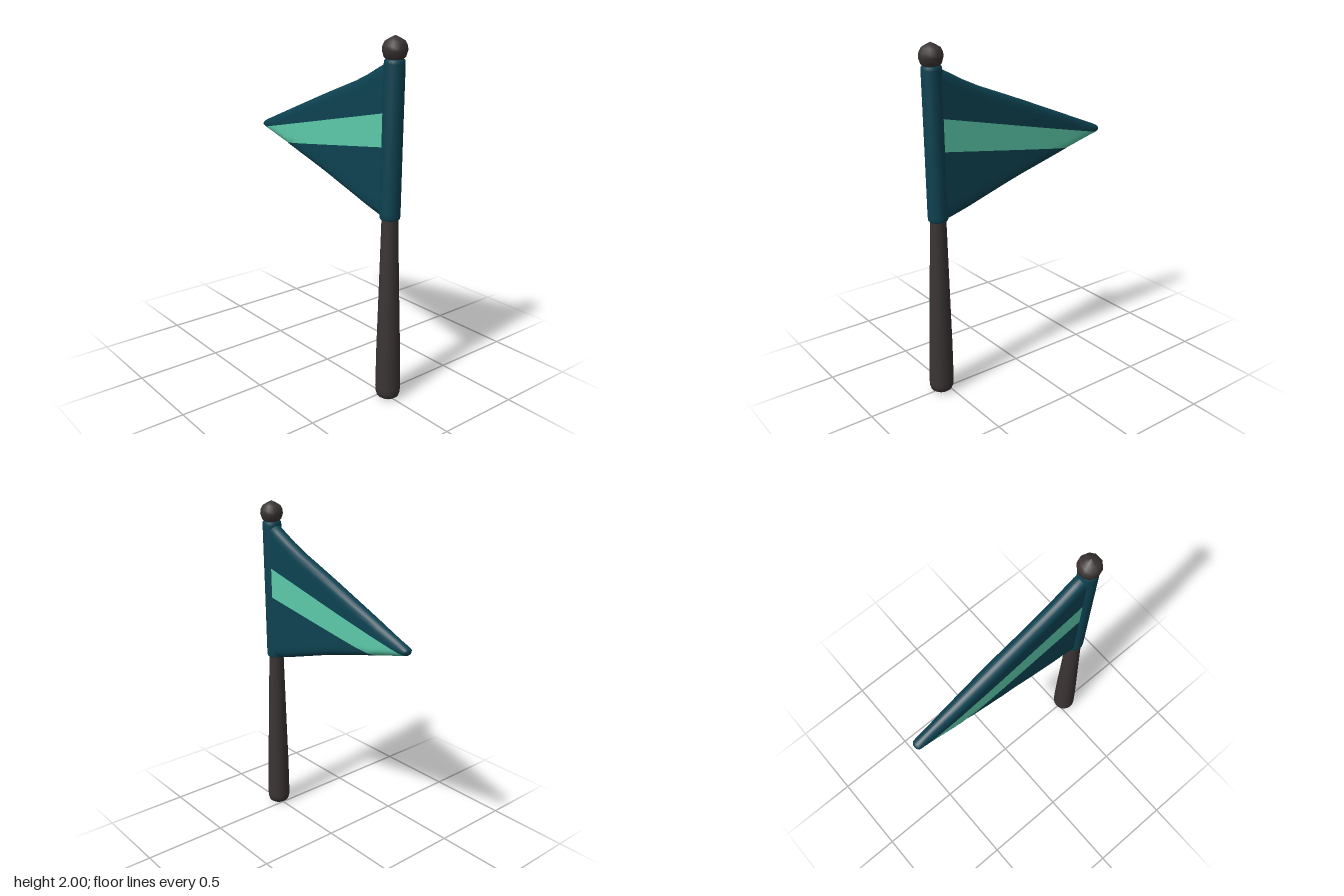
import * as THREE from 'three';

const wood = new THREE.MeshStandardMaterial({ color: 0x3b3434 });
wood.name = 'dark wood';
const teal = new THREE.MeshStandardMaterial({ color: 0x0d4251 });
teal.name = 'teal cloth';
const mint = new THREE.MeshStandardMaterial({ color: 0x5ccaaa });
mint.name = 'mint stripe';

// Piecewise linear lookup in a list of [x, value]
function lerpTable(table, x) {
  let i = 0;
  while (i < table.length - 2 && x > table[i + 1][0]) i++;
  const [x0, v0] = table[i], [x1, v1] = table[i + 1];
  return THREE.MathUtils.lerp(v0, v1, THREE.MathUtils.clamp((x - x0) / (x1 - x0), 0, 1));
}

// Turned part whose axis follows a gentle lean
const axis = [[0, 0.545], [1.05, 0.528], [1.9, 0.536]];
function turned(name, profile, segments, material) {
  const geo = new THREE.LatheGeometry(profile.map(p => new THREE.Vector2(...p)), segments);
  const pos = geo.attributes.position;
  for (let i = 0; i < pos.count; i++) pos.setX(i, pos.getX(i) + lerpTable(axis, pos.getY(i)));
  const mesh = new THREE.Mesh(geo, material);
  mesh.name = name;
  return mesh;
}

// Pennant outline and half thickness along x
const top = [[-0.615, 1.395], [-0.605, 1.405], [-0.58, 1.417], [0, 1.65], [0.3, 1.765], [0.48, 1.86], [0.53, 1.87]];
const bottom = [[-0.615, 1.375], [-0.605, 1.366], [-0.58, 1.358], [-0.38, 1.305], [0, 1.2], [0.4, 1.07], [0.48, 1.05], [0.53, 1.05]];
const half = [[-0.615, 0.015], [-0.605, 0.027], [-0.58, 0.032], [-0.35, 0.041], [-0.1, 0.044], [0.53, 0.04]];

function buildPennant() {
  const xs = [-0.615, -0.61, -0.605, -0.595, -0.58, -0.55, -0.5, -0.45, -0.4, -0.38, -0.34];
  for (let x = -0.25; x < 0.5; x += 0.1) xs.push(x);
  xs.push(0.48, 0.53);
  const N = 8; // rows in each colour band
  const ring = 6 * N;
  const verts = [];
  for (const x of xs) {
    const b = lerpTable(bottom, x), t = lerpTable(top, x), h = lerpTable(half, x);
    const s0 = THREE.MathUtils.clamp(1.43 + 0.145 * (x - 0.48), b + 0.002, t - 0.002);
    const s1 = THREE.MathUtils.clamp(1.605 + 0.222 * (x - 0.48), s0 + 0.0005, t - 0.001);
    const r = Math.min(0.045, (t - b) / 2);
    for (let j = 0; j < ring; j++) {
      const k = j <= 3 * N ? j : ring - j;
      const band = Math.min(2, Math.floor(k / N)), u = k / N - band;
      // Rows crowd toward the rounded hems
      const y = band === 0 ? b + (s0 - b) * u ** 3
        : band === 1 ? s0 + (s1 - s0) * u
          : t - (t - s1) * (1 - u) ** 3;
      const d = Math.min(y - b, t - y, r);
      const z = h * Math.sqrt(Math.max(0, 1 - ((r - d) / r) ** 2));
      verts.push(x, y, (j <= 3 * N ? z : -z) - 0.002);
    }
  }
  const faces = [[], []];
  for (let i = 0; i < xs.length - 1; i++) {
    for (let j = 0; j < ring; j++) {
      const band = Math.floor(j / N);
      const list = faces[band === 1 || band === 4 ? 1 : 0];
      const a = i * ring + j, d = i * ring + (j + 1) % ring;
      list.push(a, a + ring, d + ring, a, d + ring, d);
    }
  }
  // Close the blunt tip
  for (let j = 1; j < ring - 1; j++) faces[0].push(0, j, j + 1);
  const geo = new THREE.BufferGeometry();
  geo.setAttribute('position', new THREE.Float32BufferAttribute(verts, 3));
  geo.setIndex([...faces[0], ...faces[1]]);
  geo.addGroup(0, faces[0].length, 0);
  geo.addGroup(faces[0].length, faces[1].length, 1);
  geo.computeVertexNormals();
  const mesh = new THREE.Mesh(geo, [teal, mint]);
  mesh.name = 'pennant';
  return mesh;
}

export function createModel() {
  const group = new THREE.Group();
  group.name = 'pennantFlag';

  // Tapered handle with a rounded butt
  group.add(turned('pole', [
    [0, 0], [0.045, 0.003], [0.061, 0.015], [0.069, 0.04], [0.07, 0.07],
    [0.066, 0.3], [0.057, 0.6], [0.047, 0.95], [0.044, 1.08], [0.042, 1.88],
  ], 20, wood));

  // Cloth sleeve around the upper pole
  group.add(turned('sleeve', [
    [0.04, 1.047], [0.05, 1.047], [0.055, 1.055], [0.056, 1.08], [0.055, 1.45],
    [0.055, 1.86], [0.053, 1.877], [0.048, 1.882], [0, 1.882],
  ], 20, teal));

  // Knob with a pointed crown
  group.add(turned('finial', [
    [0, 1.866], [0.035, 1.872], [0.056, 1.893], [0.066, 1.925], [0.064, 1.948],
    [0.052, 1.972], [0.025, 1.988], [0, 2.0],
  ], 10, wood));

  group.add(buildPennant());
  return group;
}
